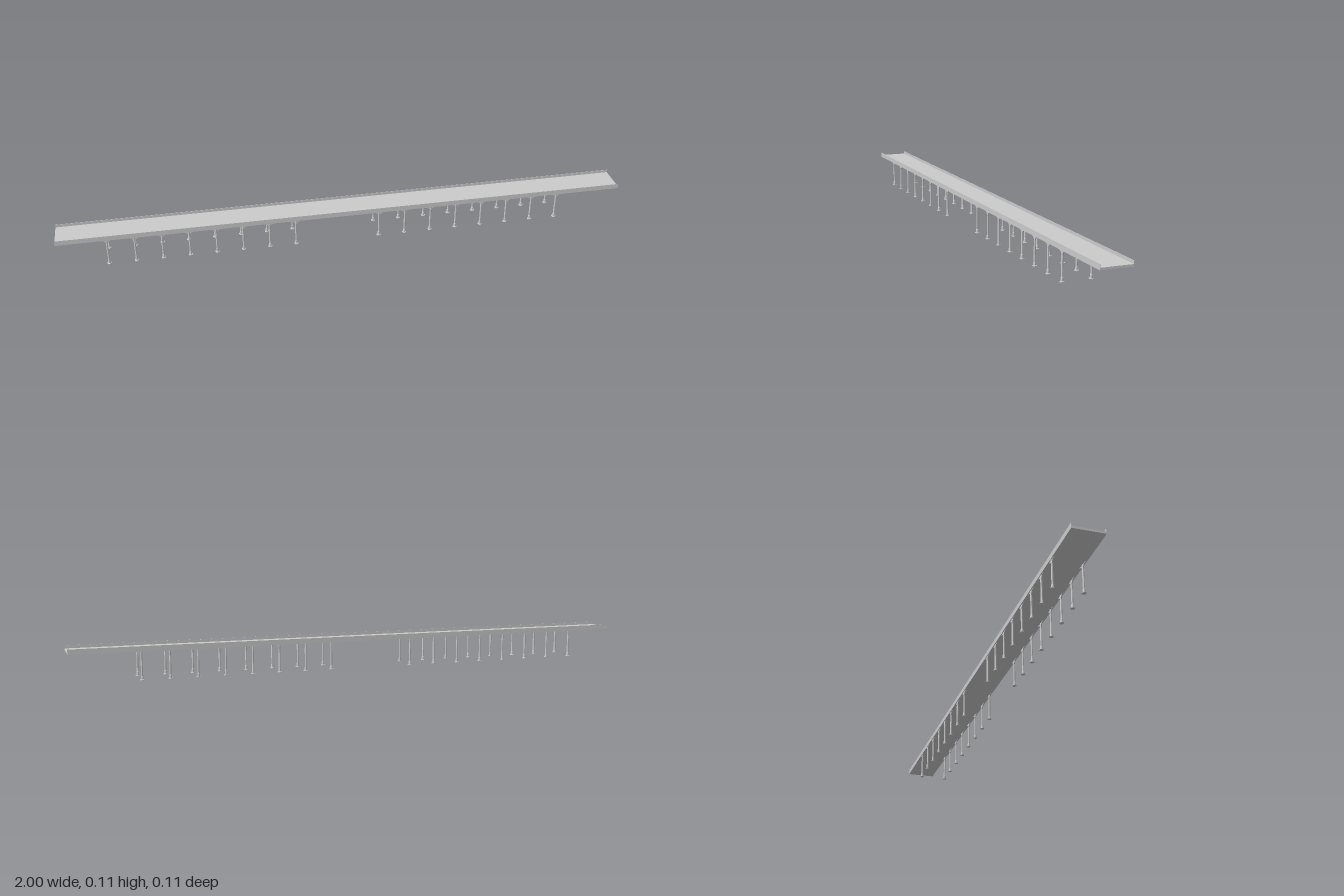
import * as THREE from 'three';

export function createModel() {
  const model = new THREE.Group();
  const material = new THREE.MeshStandardMaterial({ color: 0xcccccc });
  const add = (parent, name, geometry, x, y, z) => {
    const mesh = new THREE.Mesh(geometry, material);
    mesh.name = name;
    mesh.position.set(x, y, z);
    parent.add(mesh);
    return mesh;
  };

  // Long flat deck with a thin parapet along each side
  const underside = 0.0955;
  add(model, 'deck', new THREE.BoxGeometry(2, 0.0075, 0.103), 0, underside + 0.00375, 0);
  const parapetGeometry = new THREE.BoxGeometry(2, 0.0175, 0.0012);
  for (const side of [-1, 1]) {
    add(model, 'parapet', parapetGeometry, 0, underside + 0.00875, side * 0.0519);
  }

  // Column with a spread foot, tapered plinth and slender shaft
  const profile = [
    [0, 0], [0.0075, 0], [0.0075, 0.002], [0.0046, 0.0025],
    [0.004, 0.013], [0.0032, 0.014], [0.0032, underside],
  ].map(([r, y]) => new THREE.Vector2(r, y));
  // Repeated points keep the profile's corners sharp
  const columnGeometry = new THREE.LatheGeometry(profile, 12).toNonIndexed();
  columnGeometry.computeVertexNormals();

  // Flared bracket: two concave quarter curves meeting the deck
  const flare = new THREE.Shape();
  const reach = 0.021, drop = 0.017, neck = 0.0025;
  flare.moveTo(-neck, -drop);
  flare.lineTo(neck, -drop);
  flare.quadraticCurveTo(neck + 0.002, -0.002, reach, -0.0015);
  flare.lineTo(reach, 0);
  flare.lineTo(-reach, 0);
  flare.lineTo(-reach, -0.0015);
  flare.quadraticCurveTo(-neck - 0.002, -0.002, -neck, -drop);
  const bracketGeometry = new THREE.ExtrudeGeometry(flare, {
    depth: 0.003, bevelEnabled: false, curveSegments: 8,
  });
  bracketGeometry.translate(0, 0, -0.0015);

  // Two runs of eight column pairs, leaving a wide central span
  for (const [start, step] of [[-0.83, 0.0923], [0.112, 0.0934]]) {
    for (let i = 0; i < 8; i++) {
      const pier = new THREE.Group();
      pier.name = 'pier';
      pier.position.x = start + i * step;
      for (const side of [-1, 1]) {
        add(pier, 'column', columnGeometry, 0, 0, side * 0.0478);
        add(pier, 'bracket', bracketGeometry, 0, underside, side * 0.0478);
      }
      model.add(pier);
    }
  }
  return model;
}
